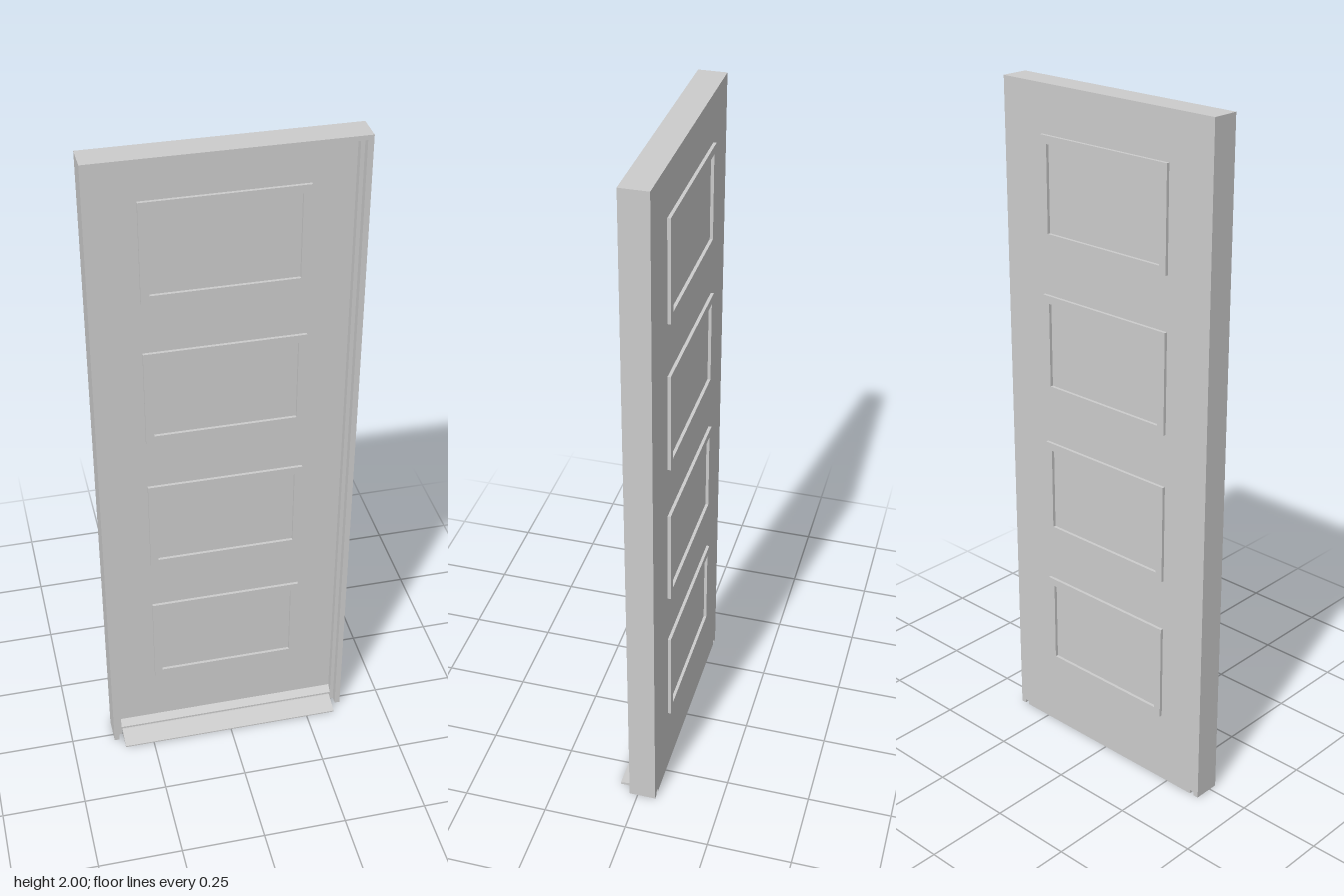
import * as THREE from 'three';

const mat = new THREE.MeshStandardMaterial({ color: 0xcccccc, flatShading: true });
const W = 0.37, H = 2;               // frame half width and height
const BACK = -0.055, FRONT = 0.025;  // frame depth
const LEAF_FRONT = -0.018;

function add(parent, name, geometry) {
  const mesh = new THREE.Mesh(geometry, mat);
  mesh.name = name;
  parent.add(mesh);
  return mesh;
}

function slab(shape, z0, z1) {
  return new THREE.ExtrudeGeometry(shape, { depth: z1 - z0, bevelEnabled: false }).translate(0, 0, z0);
}

function polygon(points) {
  return new THREE.Shape(points.map(([x, y]) => new THREE.Vector2(x, y)));
}

// Three-sided frame layer: two jambs and a head
function frameLayer(side, top, z0, z1) {
  const xi = W - side, yi = H - top;
  return slab(polygon([[-W, 0], [-xi, 0], [-xi, yi], [xi, yi], [xi, 0], [W, 0], [W, H], [-W, H]]), z0, z1);
}

// Bar running along x with a cross-section given as [z, y] points
function crossBar(points, halfWidth) {
  const g = new THREE.ExtrudeGeometry(polygon(points.map(([z, y]) => [-z, y])),
    { depth: halfWidth * 2, bevelEnabled: false });
  return g.translate(0, 0, -halfWidth).rotateY(Math.PI / 2);
}

// Rectangular moulding ring
function mouldingRing(w, h, border, z0, z1) {
  const rect = (a, b) => [[-a, -b], [a, -b], [a, b], [-a, b]];
  const shape = polygon(rect(w / 2, h / 2));
  shape.holes.push(polygon(rect(w / 2 - border, h / 2 - border)));
  return slab(shape, z0, z1);
}

export function createModel() {
  const door = new THREE.Group();
  door.name = 'panelDoor';

  // Frame: rebate for the leaf, projecting stop, then the front lip
  const frame = new THREE.Group();
  frame.name = 'frame';
  door.add(frame);
  add(frame, 'frameRebate', frameLayer(0.016, 0.013, BACK, LEAF_FRONT));
  add(frame, 'frameStop', frameLayer(0.027, 0.024, LEAF_FRONT, 0.003));
  add(frame, 'frameLip', frameLayer(0.016, 0.013, 0.003, FRONT));

  // Leaf, flush with the back of the frame
  const leaf = new THREE.Group();
  leaf.name = 'leaf';
  door.add(leaf);
  const leafBottom = 0.012, leafTop = H - 0.013;
  const board = add(leaf, 'leafBoard',
    new THREE.BoxGeometry((W - 0.016) * 2, leafTop - leafBottom, LEAF_FRONT - BACK));
  board.position.set(0, (leafTop + leafBottom) / 2, (LEAF_FRONT + BACK) / 2);

  // Four raised panel mouldings on both faces
  for (let i = 0; i < 4; i++) {
    const y = 0.367 + i * 0.45;
    for (const [name, z0, z1] of [
      ['frontMoulding', LEAF_FRONT, LEAF_FRONT + 0.009],
      ['backMoulding', BACK - 0.009, BACK],
    ]) {
      add(leaf, name, mouldingRing(0.452, 0.294, 0.023, z0, z1)).position.y = y;
    }
  }

  // Sloping weather bar at the foot of the leaf
  add(leaf, 'weatherBar', crossBar(
    [[LEAF_FRONT, 0.024], [0.003, 0.024], [0.003, 0.03], [LEAF_FRONT, 0.045]], 0.343));

  // Sill, sloping out beyond the frame
  add(door, 'sill', crossBar(
    [[BACK, 0], [0.062, 0], [0.062, 0.004], [0.003, 0.02], [LEAF_FRONT, 0.02], [LEAF_FRONT, 0.012], [BACK, 0.012]], 0.34));

  return door;
}
